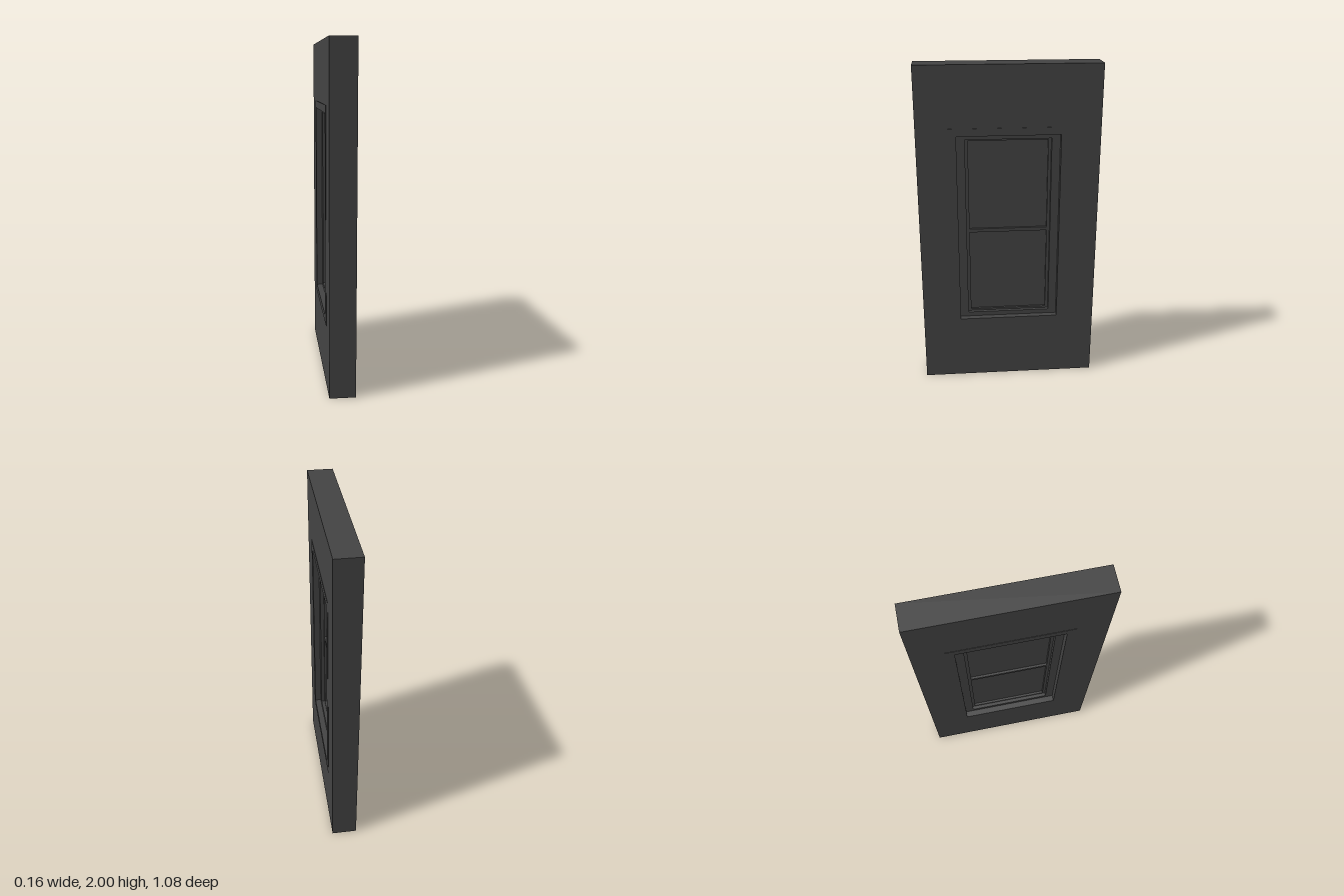
import * as THREE from 'three';

const CENTRE_Y = 1.002; // middle height of the window

export function createModel() {
  const model = new THREE.Group();
  const material = new THREE.MeshStandardMaterial({ color: 0x444444 });

  function add(name, geometry) {
    const mesh = new THREE.Mesh(geometry, material);
    mesh.name = name;
    model.add(mesh);
    return mesh;
  }

  const trace = (path, w, y0, y1) => {
    path.moveTo(-w, y0);
    path.lineTo(w, y0);
    path.lineTo(w, y1);
    path.lineTo(-w, y1);
    path.closePath();
    return path;
  };

  // Rectangular ring in the zy plane, centred on x = 0
  function ring(name, outer, inner, thickness) {
    const shape = trace(new THREE.Shape(), ...outer);
    shape.holes.push(trace(new THREE.Path(), ...inner));
    const geometry = new THREE.ExtrudeGeometry(shape, { depth: thickness, bevelEnabled: false });
    geometry.translate(0, 0, -thickness / 2);
    geometry.rotateY(Math.PI / 2);
    return add(name, geometry);
  }

  // Half width, bottom and top of each opening, from outside in
  const wallEdge = [0.538, 0, 2];
  const casingEdge = [0.355, 0.365, 1.64];
  const revealEdge = [0.305, 0.41, 1.595];
  const sashEdge = [0.255, 0.438, 1.566];
  const glassEdge = [0.237, 0.45, 1.554];

  ring('wall', wallEdge, casingEdge, 0.152);
  ring('casing', casingEdge, revealEdge, 0.156);
  ring('windowFrame', revealEdge, sashEdge, 0.082);
  ring('sash', sashEdge, glassEdge, 0.04);

  // Pane and the bar across its middle
  const pane = add('pane', new THREE.BoxGeometry(0.012, glassEdge[2] - glassEdge[1], glassEdge[0] * 2));
  pane.position.y = CENTRE_Y;
  const bar = add('meetingRail', new THREE.BoxGeometry(0.04, 0.022, glassEdge[0] * 2));
  bar.position.y = 0.99;

  return model;
}
